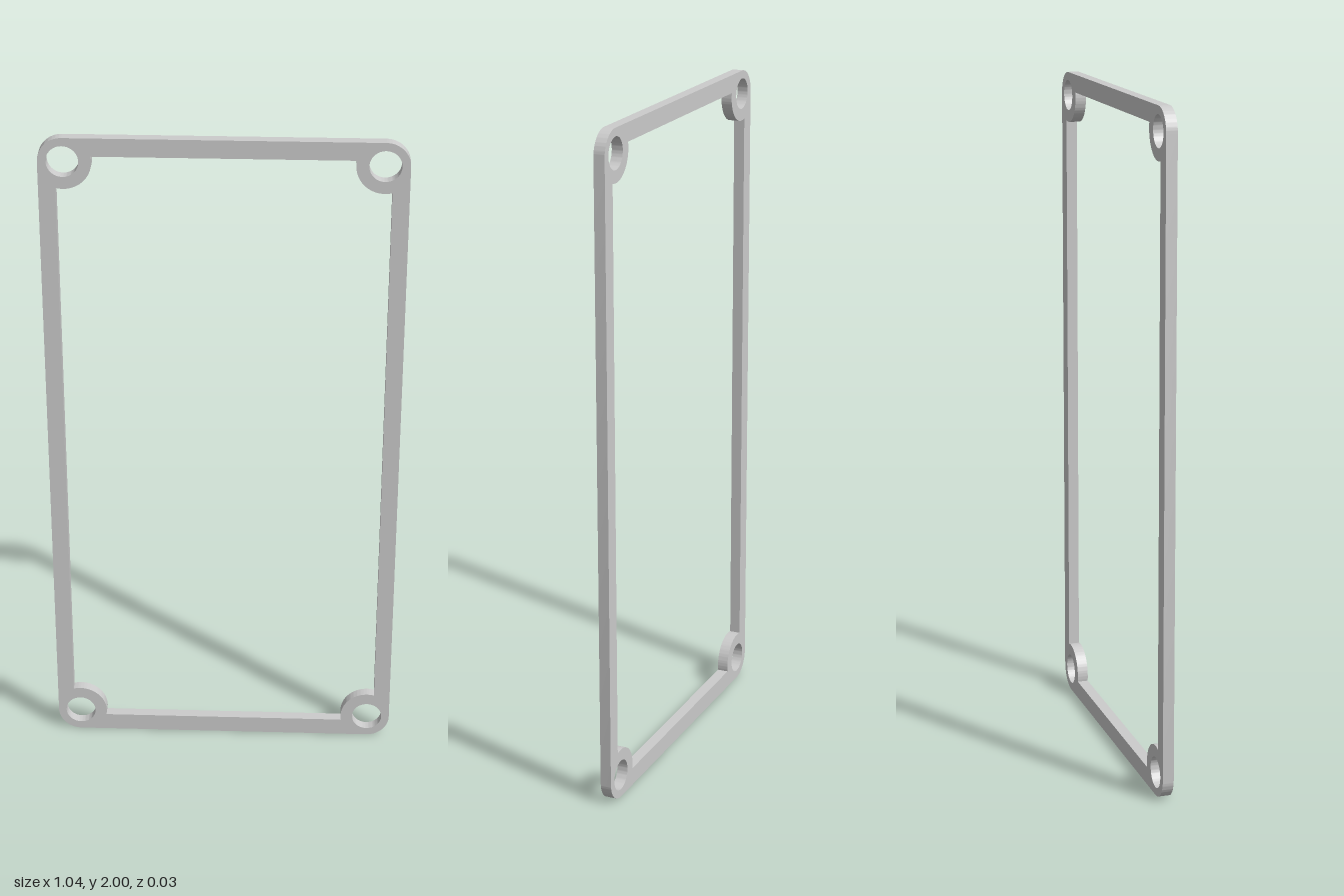
import * as THREE from 'three';
import { toCreasedNormals } from 'three/addons/utils/BufferGeometryUtils.js';

const W = 0.522, H = 1;              // outer half sizes
const IX = 0.473, IY = 0.946;        // half sizes of the opening
const R = 0.07;                      // outer corner radius
const BOSS = 0.082, HOLE = 0.046;    // screw boss and hole radii
const DEPTH = 0.033;
const CX = W - R, CY = H - R;        // screw centres

export function createModel() {
  const group = new THREE.Group();
  group.name = 'gasketFrame';

  // corners in counter-clockwise order
  const corners = [[1, 1], [-1, 1], [-1, -1], [1, -1]];

  // rounded outer outline
  const outline = new THREE.Shape();
  corners.forEach(([sx, sy], i) =>
    outline.absarc(sx * CX, sy * CY, R, i * Math.PI / 2, (i + 1) * Math.PI / 2, false));
  outline.closePath();

  // opening, with a round boss biting into each corner
  const opening = new THREE.Path();
  const dx = IX - CX, dy = IY - CY;
  const sideEnd = [dx, -Math.sqrt(BOSS * BOSS - dx * dx)];
  const topEnd = [-Math.sqrt(BOSS * BOSS - dy * dy), dy];
  corners.forEach(([sx, sy], i) => {
    const angle = ([x, y]) => Math.atan2(sy * y, sx * x);
    const [from, to] = i % 2 ? [topEnd, sideEnd] : [sideEnd, topEnd];
    opening.absarc(sx * CX, sy * CY, BOSS, angle(from), angle(to), true);
  });
  opening.closePath();
  outline.holes.push(opening);

  // screw holes
  for (const [sx, sy] of corners) {
    const hole = new THREE.Path();
    hole.absarc(sx * CX, sy * CY, HOLE, 0, Math.PI * 2, true);
    outline.holes.push(hole);
  }

  const geometry = new THREE.ExtrudeGeometry(outline, {
    depth: DEPTH, bevelEnabled: false, curveSegments: 32,
  });
  geometry.translate(0, H, -DEPTH / 2);

  const frame = new THREE.Mesh(
    toCreasedNormals(geometry, 0.5),
    new THREE.MeshStandardMaterial({ color: 0xcccccc }));
  frame.name = 'frame';
  group.add(frame);
  return group;
}
